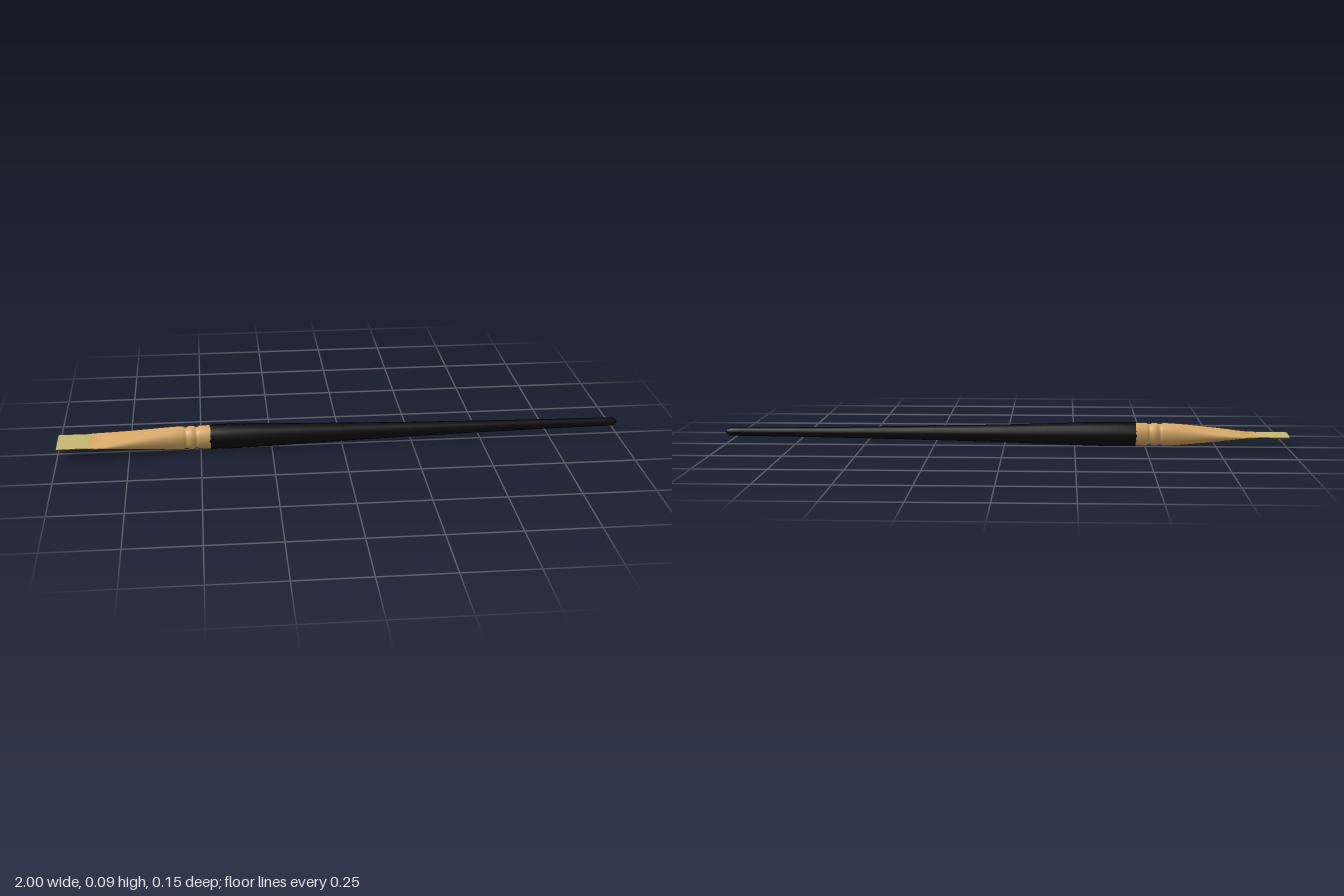
import * as THREE from 'three';

const AXIS_Y = 0.044;

// Closed loft along +x; each station is [x, half height, half width].
// power < 1 squares off the elliptical cross-section.
function loft(stations, sides, power = 1) {
  const pos = [], index = [];
  const bend = v => Math.sign(v) * Math.abs(v) ** power;
  const addRing = ([x, h, w]) => {
    const start = pos.length / 3;
    for (let j = 0; j < sides; j++) {
      const t = (j / sides) * Math.PI * 2;
      pos.push(x, AXIS_Y + h * bend(Math.cos(t)), w * bend(Math.sin(t)));
    }
    return start;
  };
  const rings = stations.map(addRing);
  for (let i = 0; i < rings.length - 1; i++) {
    for (let j = 0; j < sides; j++) {
      const k = (j + 1) % sides, a = rings[i], b = rings[i + 1];
      index.push(a + j, a + k, b + k, a + j, b + k, b + j);
    }
  }
  // End caps use their own vertices so the rims stay sharp
  [stations[0], stations[stations.length - 1]].forEach((s, end) => {
    const r = addRing(s), c = pos.length / 3;
    pos.push(s[0], AXIS_Y, 0);
    for (let j = 0; j < sides; j++) {
      const k = (j + 1) % sides;
      if (end) index.push(c, r + j, r + k);
      else index.push(c, r + k, r + j);
    }
  });
  const geo = new THREE.BufferGeometry();
  geo.setAttribute('position', new THREE.Float32BufferAttribute(pos, 3));
  geo.setIndex(index);
  geo.computeVertexNormals();
  return geo;
}

export function createModel() {
  const group = new THREE.Group();
  const add = (name, geo, color) => {
    const mesh = new THREE.Mesh(geo, new THREE.MeshStandardMaterial({ color }));
    mesh.name = name;
    group.add(mesh);
  };

  // Long tapered handle with a rounded tip
  const handle = [
    [-0.475, 0.041], [-0.465, 0.043], [-0.4, 0.044], [-0.3, 0.042], [-0.15, 0.037],
    [0, 0.032], [0.25, 0.026], [0.5, 0.021], [0.75, 0.017], [0.95, 0.015],
    [0.982, 0.0145], [0.993, 0.011], [0.998, 0.006], [1, 0.002],
  ].map(([x, r]) => [x, r, r]);
  add('handle', loft(handle, 16), 0x0a0a0a);

  // Metal ferrule: round with crimped rings at the handle, pressed flat at the bristles
  const ferrule = [
    [-0.89, 0.007, 0.069], [-0.875, 0.007, 0.073], [-0.86, 0.008, 0.074], [-0.84, 0.011, 0.072],
    [-0.8, 0.018, 0.066], [-0.75, 0.025, 0.058], [-0.7, 0.031, 0.051], [-0.65, 0.036, 0.045],
    [-0.6, 0.040, 0.042], [-0.562, 0.042, 0.040],
    [-0.555, 0.038, 0.036], [-0.547, 0.038, 0.036], [-0.54, 0.042, 0.041], [-0.525, 0.042, 0.041],
    [-0.518, 0.038, 0.037], [-0.51, 0.038, 0.037], [-0.503, 0.042, 0.042], [-0.465, 0.042, 0.042],
  ];
  add('ferrule', loft(ferrule, 28, 0.9), 0xd9ab66);

  // Flat bristle tuft
  const bristles = [
    [-1, 0.007, 0.068], [-0.96, 0.007, 0.068], [-0.92, 0.0065, 0.068], [-0.87, 0.006, 0.067],
  ];
  add('bristles', loft(bristles, 28, 0.85), 0xc8b873);

  return group;
}
